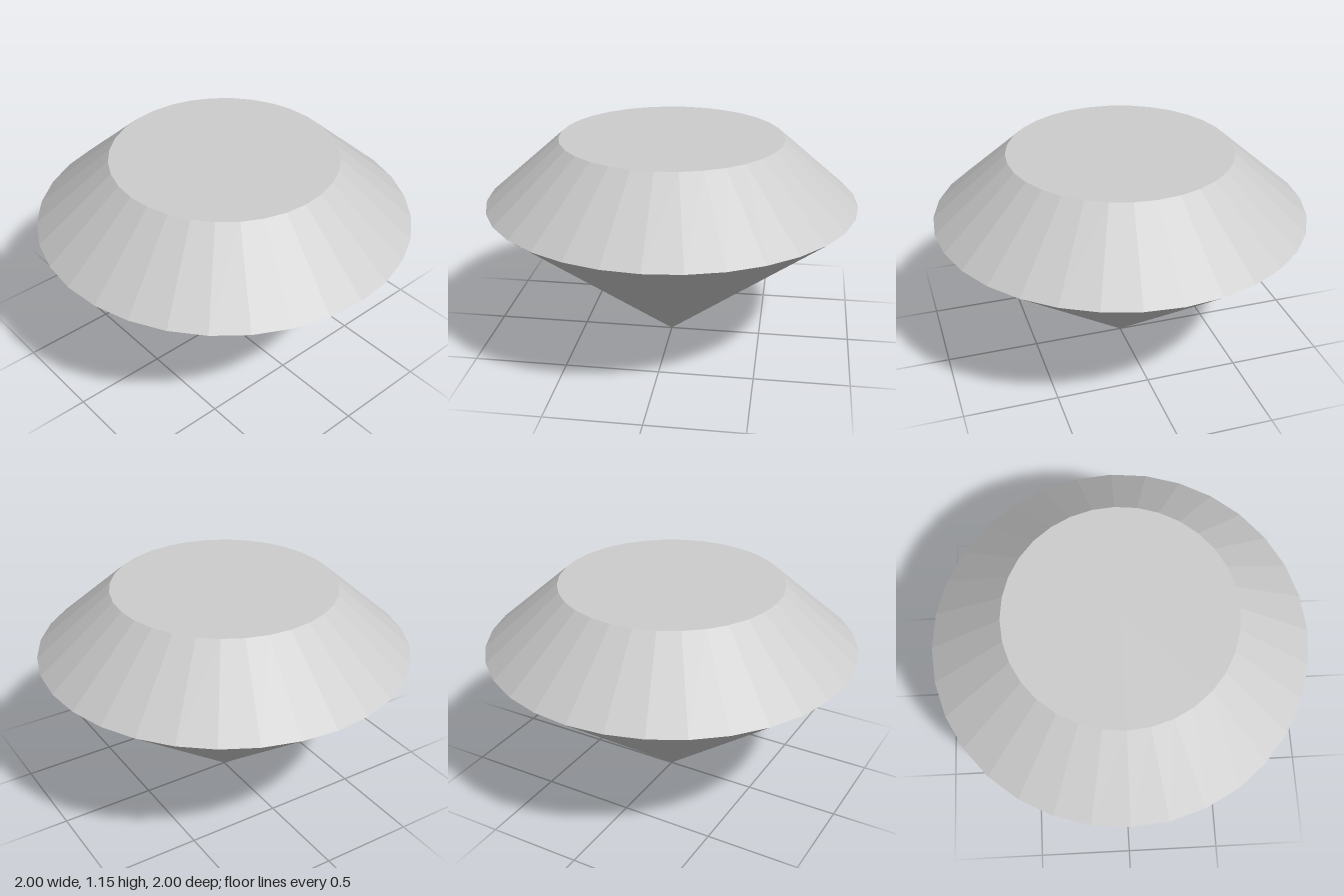
import * as THREE from 'three';

const SIDES = 32;
const GIRDLE_RADIUS = 1, TABLE_RADIUS = 0.6;
const GIRDLE_Y = 0.8, TABLE_Y = 1.15;

export function createModel() {
  const group = new THREE.Group();
  group.name = 'cutGem';
  const gemGrey = new THREE.MeshStandardMaterial({ color: 0xcccccc, flatShading: true });
  gemGrey.name = 'gem grey';

  const add = (name, geometry, y) => {
    const mesh = new THREE.Mesh(geometry, gemGrey);
    mesh.name = name;
    mesh.position.y = y;
    group.add(mesh);
  };

  // Lower cone, point resting on the ground
  add('pavilion', new THREE.CylinderGeometry(GIRDLE_RADIUS, 0, GIRDLE_Y, SIDES, 1, true), GIRDLE_Y / 2);

  // Sloped upper band
  const crownHeight = TABLE_Y - GIRDLE_Y;
  add('crown', new THREE.CylinderGeometry(TABLE_RADIUS, GIRDLE_RADIUS, crownHeight, SIDES, 1, true),
    GIRDLE_Y + crownHeight / 2);

  // Flat top facet
  add('table', new THREE.CircleGeometry(TABLE_RADIUS, SIDES).rotateX(-Math.PI / 2), TABLE_Y);

  return group;
}
